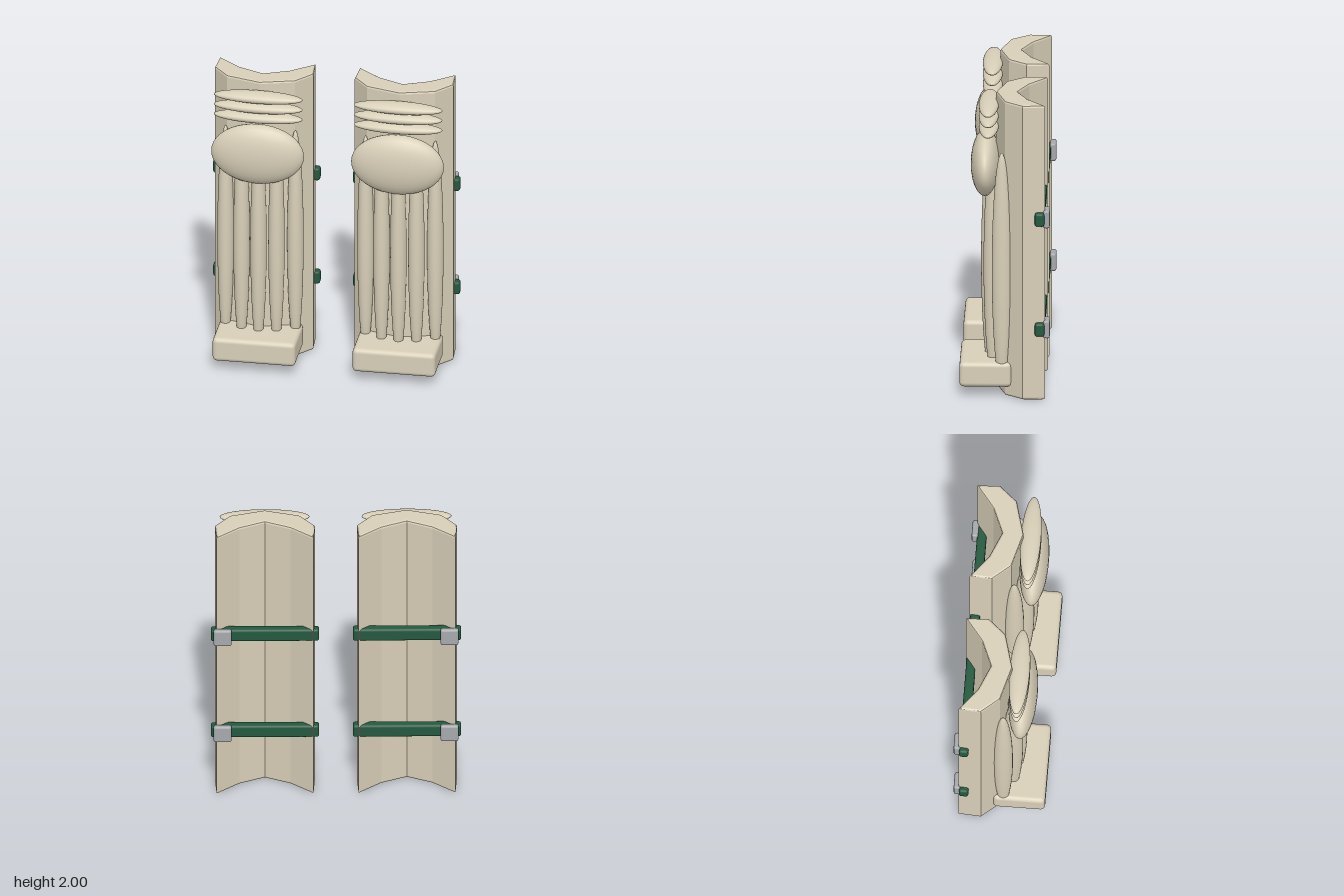
import * as THREE from 'three';
import { RoundedBoxGeometry } from 'three/addons/geometries/RoundedBoxGeometry.js';

const mat = (name, color) => {
  const m = new THREE.MeshStandardMaterial({ color });
  m.name = name;
  return m;
};

export function createModel() {
  const cream = mat('cream canvas', 0xd8cfb8);
  const green = mat('green webbing', 0x24593f);
  const grey = mat('grey metal', 0xa6a9ac);

  const add = (parent, name, geometry, material, x, y, z) => {
    const mesh = new THREE.Mesh(geometry, material);
    mesh.name = name;
    mesh.position.set(x, y, z);
    parent.add(mesh);
    return mesh;
  };
  // Ellipsoid with its poles on the long axis
  const ellipsoid = (rx, ry, rz) => {
    const g = new THREE.SphereGeometry(1, 28, 20);
    if (rx > ry) g.rotateZ(Math.PI / 2);
    return g.scale(rx, ry, rz);
  };

  // Angular shell section, [x, z], extruded upwards
  const half = [[0, 0.062], [0.225, 0], [0.325, -0.118], [0.315, -0.265], [0.165, -0.148], [0, -0.078]];
  const mirrored = half.slice(1, -1).reverse().map(([x, z]) => [-x, z]);
  const section = [...half, ...mirrored].map(([x, z]) => new THREE.Vector2(x, -z));
  const bevel = 0.015;
  const shellGeo = new THREE.ExtrudeGeometry(new THREE.Shape(section), {
    depth: 2 - 2 * bevel, bevelEnabled: true, bevelThickness: bevel,
    bevelSize: bevel, bevelOffset: -bevel, bevelSegments: 2,
  });
  shellGeo.rotateX(-Math.PI / 2);

  const caneGeo = ellipsoid(0.053, 0.79, 0.064);
  const rollGeo = ellipsoid(0.292, 0.037, 0.066);
  const kneeGeo = ellipsoid(0.305, 0.211, 0.095);
  const footGeo = new RoundedBoxGeometry(0.545, 0.165, 0.34, 3, 0.03);
  const strapGeo = new RoundedBoxGeometry(0.704, 0.09, 0.062, 2, 0.016);
  const buckleGeo = new RoundedBoxGeometry(0.116, 0.12, 0.042, 2, 0.014);

  const model = new THREE.Group();
  model.name = 'legGuards';
  for (const side of [-1, 1]) {
    const pad = new THREE.Group();
    pad.name = side > 0 ? 'leftPad' : 'rightPad';
    pad.position.x = side * 0.461;
    model.add(pad);

    add(pad, 'shell', shellGeo, cream, 0, bevel, 0);

    // Vertical padded canes following the curve of the shell
    for (let i = -2; i <= 2; i++) {
      add(pad, 'cane', caneGeo, cream, i * 0.115, 0.86, 0.096 - 0.019 * i * i);
    }

    // Knee pad and thigh rolls
    add(pad, 'kneePad', kneeGeo, cream, 0, 1.515, 0.132);
    for (let i = 0; i < 3; i++) {
      add(pad, 'thighRoll', rollGeo, cream, 0, 1.772 + i * 0.071, 0.109);
    }

    add(pad, 'footPad', footGeo, cream, 0, 0.148, 0.125);

    // Straps across the back with buckles on the outer side
    for (const y of [0.48, 1.228]) {
      add(pad, 'strap', strapGeo, green, 0, y, -0.229);
      add(pad, 'buckle', buckleGeo, grey, side * 0.276, y, -0.274);
    }
  }
  return model;
}
